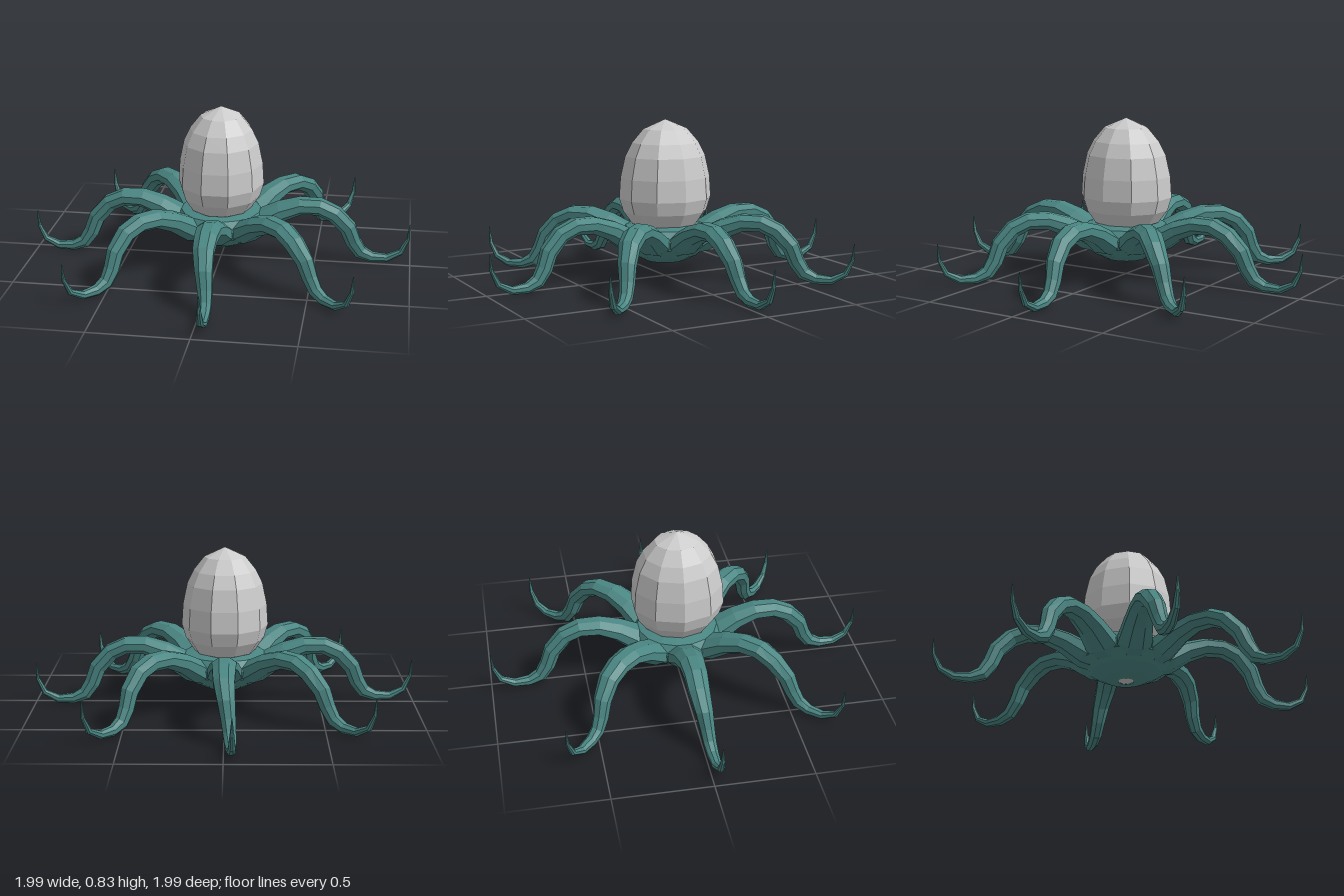
import * as THREE from 'three';

const grey = new THREE.MeshStandardMaterial({ color: 0xcccccc, flatShading: true, side: THREE.DoubleSide });
const teal = new THREE.MeshStandardMaterial({ color: 0x4a8683, flatShading: true, side: THREE.DoubleSide });

function lathe(name, profile, sides, phase, material) {
  const points = profile.map(([r, y]) => new THREE.Vector2(r, y));
  const mesh = new THREE.Mesh(new THREE.LatheGeometry(points, sides, phase), material);
  mesh.name = name;
  return mesh;
}

// Stations along one arm: distance out, height, sideways drift, half width, half thickness
const ARM = [
  [0.08, 0.16, 0, 0.07, 0.04],
  [0.22, 0.22, 0, 0.088, 0.06],
  [0.32, 0.28, 0, 0.072, 0.05],
  [0.42, 0.315, 0, 0.062, 0.043],
  [0.52, 0.315, 0, 0.057, 0.042],
  [0.60, 0.278, 0, 0.052, 0.043],
  [0.67, 0.20, -0.012, 0.043, 0.043],
  [0.70, 0.12, -0.022, 0.036, 0.04],
  [0.74, 0.06, -0.028, 0.032, 0.035],
  [0.80, 0.034, -0.032, 0.028, 0.026],
  [0.88, 0.032, -0.036, 0.023, 0.02],
  [0.95, 0.068, -0.039, 0.017, 0.015],
  [0.985, 0.14, -0.04, 0.011, 0.009],
  [0.992, 0.225, -0.04, 0.002, 0.002],
];

// Sweeps a flattened ring along the arm, pointing along +x
function armGeometry(sides = 8) {
  const positions = [], index = [];
  ARM.forEach(([x, y, z, halfWidth, halfThick], i) => {
    const a = ARM[Math.max(i - 1, 0)], b = ARM[Math.min(i + 1, ARM.length - 1)];
    const t = new THREE.Vector2(b[0] - a[0], b[1] - a[1]).normalize();
    for (let j = 0; j < sides; j++) {
      const angle = ((j + 0.5) / sides) * Math.PI * 2;
      const k = 1 / Math.cos(Math.PI / sides);
      const up = Math.sin(angle) * halfThick * k, out = Math.cos(angle) * halfWidth * k;
      positions.push(x - t.y * up, y + t.x * up, z + out);
      if (i < ARM.length - 1) {
        const p = i * sides + j, q = i * sides + (j + 1) % sides;
        index.push(p, p + sides, q, q, p + sides, q + sides);
      }
    }
  });
  const geometry = new THREE.BufferGeometry();
  geometry.setAttribute('position', new THREE.Float32BufferAttribute(positions, 3));
  geometry.setIndex(index);
  geometry.computeVertexNormals();
  return geometry;
}

export function createModel() {
  const model = new THREE.Group();
  model.name = 'octopus';

  // Egg-shaped head, slightly deeper than wide
  const head = lathe('head', [
    [0, 0.25], [0.1, 0.26], [0.17, 0.295], [0.215, 0.36], [0.236, 0.43], [0.229, 0.54],
    [0.205, 0.65], [0.17, 0.72], [0.112, 0.79], [0, 0.84],
  ], 10, Math.PI / 10, grey);
  head.scale.set(0.955, 1, 1.045);
  model.add(head);

  // Bowl-shaped underside that joins the arms
  model.add(lathe('body', [
    [0.04, 0.09], [0.11, 0.1], [0.18, 0.135], [0.235, 0.185], [0.245, 0.23], [0.21, 0.28], [0.12, 0.3],
  ], 16, Math.PI / 16, teal));

  // Mouth in the middle of the underside
  model.add(lathe('mouth', [[0, 0.094], [0.042, 0.092]], 10, 0, grey));

  // Eight identical arms
  const geometry = armGeometry();
  for (let i = 0; i < 8; i++) {
    const arm = new THREE.Mesh(geometry, teal);
    arm.name = `arm${i + 1}`;
    arm.rotation.y = (i * Math.PI) / 4;
    model.add(arm);
  }
  return model;
}
